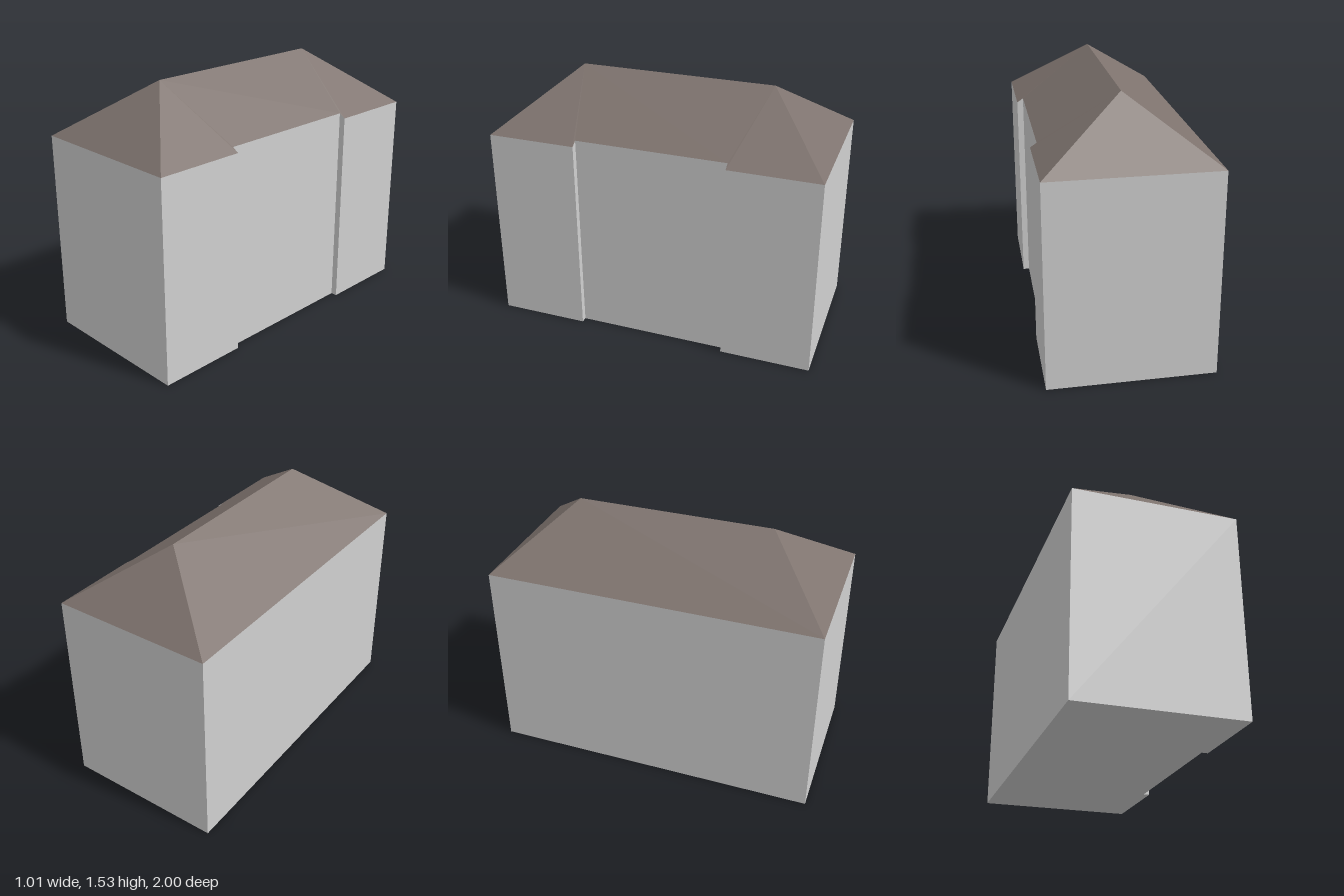
import * as THREE from 'three';

const EAVE = 1.2, NOTCH_EAVE = 1.225, RIDGE = 1.535;

// Flat-shaded mesh from convex (or star-shaped) corner loops, each fanned from its first corner
function facets(name, loops, material) {
  const pos = [];
  for (const p of loops)
    for (let i = 1; i < p.length - 1; i++) pos.push(...p[0], ...p[i], ...p[i + 1]);
  const g = new THREE.BufferGeometry();
  g.setAttribute('position', new THREE.Float32BufferAttribute(pos, 3));
  g.computeVertexNormals();
  const mesh = new THREE.Mesh(g, material);
  mesh.name = name;
  return mesh;
}

export function createModel() {
  const wallGrey = new THREE.MeshStandardMaterial({ color: 0xd0d0d0 });
  wallGrey.name = 'wallGrey';
  const roofBrown = new THREE.MeshStandardMaterial({ color: 0x7e736e });
  roofBrown.name = 'roofBrown';

  // Eave outline, counter-clockwise from above, with a shallow recess on the +x side
  const outline = [
    [0.445, EAVE, 1.0],
    [0.461, EAVE, 0.466],
    [0.424, NOTCH_EAVE, 0.465],
    [0.452, NOTCH_EAVE, -0.441],
    [0.489, EAVE, -0.44],
    [0.505, EAVE, -0.975],
    [-0.45, EAVE, -1.0],
    [-0.51, EAVE, 0.97],
  ];
  const [frontL, jambF, recessF, recessB, jambB, backL, backR, frontR] = outline;
  const ridgeF = [-0.02, RIDGE, 0.58], ridgeB = [0.018, RIDGE, -0.595];
  const ground = ([x, , z]) => [x, 0, z];

  // Walls, one upright face per outline edge
  const walls = outline.map((a, i) => {
    const b = outline[(i + 1) % outline.length];
    return [ground(a), ground(b), b, a];
  });

  // Underside
  const floor = [
    [frontR, frontL, jambF, recessF, recessB, backR],
    [backR, recessB, jambB, backL],
  ].map(loop => {
    const [first, ...rest] = loop.map(ground);
    return [first, ...rest.reverse()];
  });

  // Hipped roof
  const roof = [
    [ridgeF, frontL, jambF, recessF, recessB, ridgeB],
    [ridgeB, recessB, jambB, backL],
    [ridgeB, backL, backR],
    [ridgeB, backR, frontR, ridgeF],
    [ridgeF, frontR, frontL],
  ];

  const group = new THREE.Group();
  group.name = 'house';
  group.add(
    facets('walls', walls, wallGrey),
    facets('floor', floor, wallGrey),
    facets('roof', roof, roofBrown),
  );
  return group;
}
